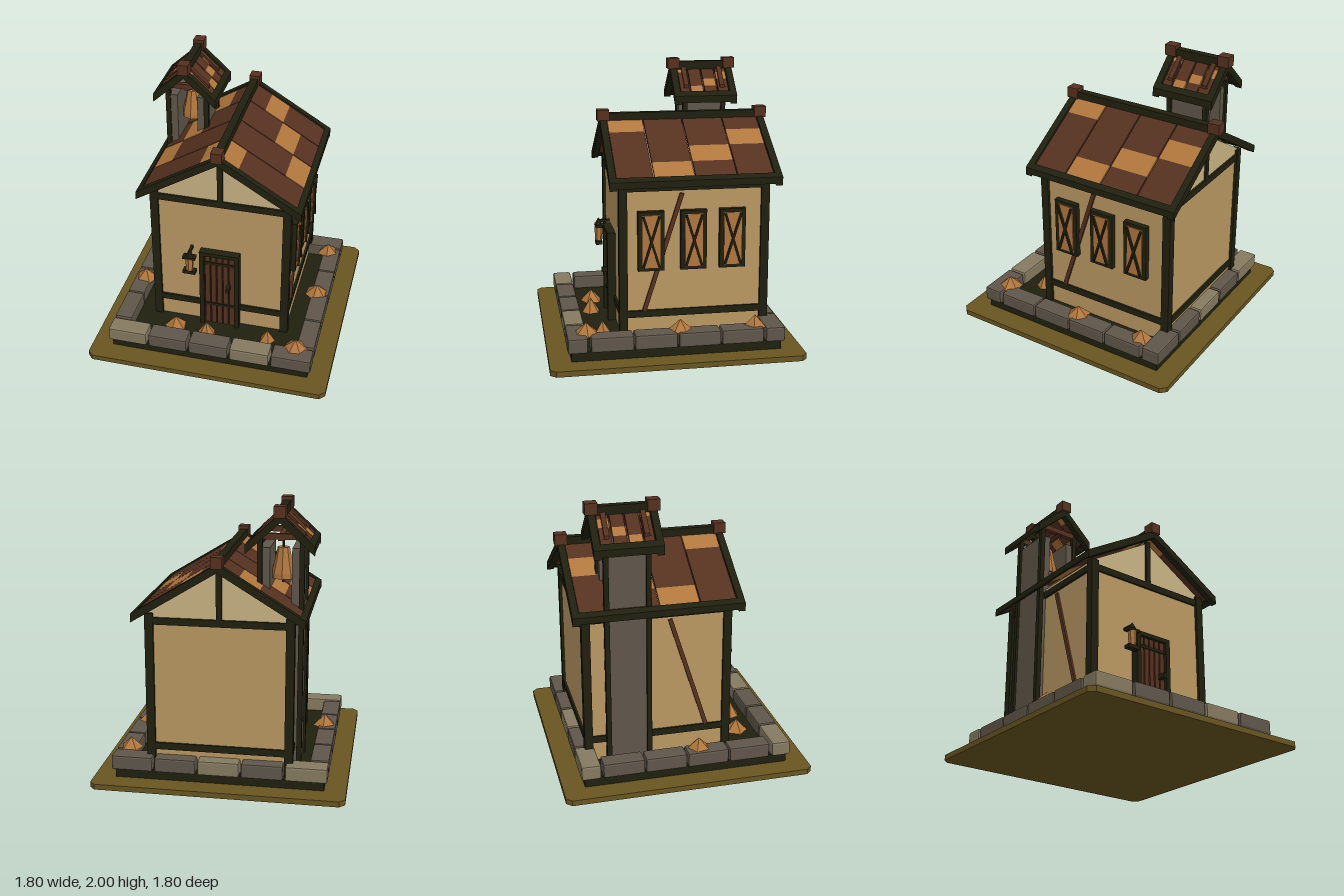
import * as THREE from 'three';
import { RoundedBoxGeometry } from 'three/addons/geometries/RoundedBoxGeometry.js';

const mat = (name, color) => {
  const m = new THREE.MeshStandardMaterial({ color, flatShading: true });
  m.name = name;
  return m;
};

export function createModel() {
  const timber = mat('dark timber', 0x20200f);
  const wallTan = mat('tan wall', 0xb99862);
  const plaster = mat('pale plaster', 0xc8b283);
  const brown = mat('red brown wood', 0x55311f);
  const amber = mat('amber', 0xb0763c);
  const stone = mat('grey stone', 0x5f564a);
  const paleStone = mat('pale stone', 0x857a60);
  const earth = mat('olive earth', 0x685520);

  const model = new THREE.Group();
  const add = (name, geo, m, x = 0, y = 0, z = 0) => {
    const mesh = new THREE.Mesh(geo, m);
    mesh.name = name;
    mesh.position.set(x, y, z);
    model.add(mesh);
    return mesh;
  };
  // Box given by its limits on each axis
  const box = (name, m, x0, x1, y0, y1, z0, z1) =>
    add(name, new THREE.BoxGeometry(x1 - x0, y1 - y0, z1 - z0), m, (x0 + x1) / 2, (y0 + y1) / 2, (z0 + z1) / 2);
  // Outline in x and y, extruded from z0 to z1
  const prism = (name, m, pts, z0, z1) => {
    const shape = new THREE.Shape(pts.map(([x, y]) => new THREE.Vector2(x, y)));
    return add(name, new THREE.ExtrudeGeometry(shape, { depth: z1 - z0, bevelEnabled: false }), m, 0, 0, z0);
  };
  // Sloping board on one side of a gable roof
  const slopeBoard = (name, m, r, side, a, b, drop, thick, z0, z1) => {
    const top = d => r.apex - drop - r.k * d;
    prism(name, m, [[a, top(a)], [b, top(b)], [b, top(b) - thick], [a, top(a) - thick]]
      .map(([d, y]) => [r.x + side * d, y]), z0, z1);
  };

  // Ground plate with clipped corners, and the plinth on it
  const e = 0.9, c = 0.86;
  prism('groundPlate', earth, [[-c, -e], [c, -e], [e, -c], [e, c], [c, e], [-c, e], [-e, c], [-e, -c]], 0, 0.04)
    .rotation.x = -Math.PI / 2;
  box('plinth', timber, -0.745, 0.745, 0.04, 0.108, -0.745, 0.745);

  // Ring of bevelled border stones
  const borderStone = (w, d, x, z, pale) =>
    add('borderStone', new RoundedBoxGeometry(w, 0.108, d, 1, 0.014), pale ? paleStone : stone, x, 0.156, z);
  for (let i = 0; i < 5; i++) {
    const x = -0.62 + i * 0.31;
    borderStone(0.295, 0.14, x, 0.7, i === 0 || i === 3);
    borderStone(0.295, 0.14, x, -0.7, i === 0 || i === 2);
  }
  for (const side of [-1, 1])
    for (let i = 0; i < 4; i++) borderStone(0.135, 0.3, side * 0.7, 0.46 - i * 0.308, false);

  // Pointed rocks on the border and in the yard: x, base, z, radius, height
  [[0.67, 0.2, -0.57, 0.085, 0.08], [0.67, 0.2, -0.03, 0.09, 0.08], [-0.68, 0.2, 0.1, 0.09, 0.085],
    [0.63, 0.2, 0.63, 0.09, 0.08], [-0.32, 0.108, 0.5, 0.085, 0.09], [-0.07, 0.108, 0.53, 0.07, 0.11],
    [0.39, 0.108, 0.49, 0.06, 0.09]].forEach(([x, y, z, r, h], i) => {
    add('rock', new THREE.ConeGeometry(r, h, 5 + i % 2), amber, x, y + h / 2, z).rotation.y = i * 0.9;
  });

  // House walls and plaster gable
  box('walls', wallTan, -0.5, 0.5, 0.1, 1.2, -0.68, 0.36);
  prism('gable', plaster, [[-0.5, 1.2], [0.5, 1.2], [0.5, 1.25], [0, 1.555], [-0.5, 1.25]], -0.68, 0.36);

  // Timber frame
  for (const s of [-1, 1]) {
    for (const z of [0.32, -0.7])
      box('cornerPost', timber, s < 0 ? -0.52 : 0.46, s < 0 ? -0.46 : 0.52, 0.1, 1.25, z, z + 0.06);
    for (const [y0, y1] of [[0.25, 0.3], [1.17, 1.22]])
      box('sideBeam', timber, s < 0 ? -0.515 : 0.49, s < 0 ? -0.49 : 0.515, y0, y1, -0.68, 0.36);
    const brace = add('diagonalBrace', new THREE.BoxGeometry(0.03, 0.89, 0.03), brown, s * 0.5, 0.725, 0.065);
    brace.rotation.x = -Math.atan2(0.27, 0.85);
  }
  for (const z of [0.35, -0.695]) {
    box('lowerBeam', timber, -0.5, 0.5, 0.25, 0.3, z, z + 0.025);
    box('upperBeam', timber, -0.5, 0.5, 1.17, 1.22, z, z + 0.025);
    box('gablePost', timber, -0.02, 0.02, 1.2, 1.56, z, z + 0.025);
  }

  // Gable roof: four rows of tiles with one amber patch each, framed by timber
  const roof = (r, zs, inner, outer, edge, thick, gap) => {
    const patch = [0, 3, 2, 1], q = inner / 4;
    for (const s of [-1, 1]) {
      for (let i = 0; i < 4; i++)
        for (let j = 0; j < 4; j++)
          slopeBoard('roofTile', j === patch[i] ? amber : brown, r, s, j * q, (j + 1) * q, 0.012, 0.025,
            zs[i + 1] + gap / 2, zs[i] - gap / 2);
      slopeBoard('frontRafter', timber, r, s, 0, outer, 0, thick, zs[0], zs[0] + edge);
      slopeBoard('backRafter', timber, r, s, 0, outer, 0, thick, zs[4] - edge, zs[4]);
      slopeBoard('eaveBeam', timber, r, s, inner, outer, 0, thick * 0.8, zs[4], zs[0]);
    }
    box('ridgeBeam', timber, r.x - 0.028, r.x + 0.028, r.apex - 0.04, r.apex + 0.025, zs[4] - edge, zs[0] + edge);
    for (const z of [zs[0] + edge / 2, zs[4] - edge / 2])
      box('ridgeCap', brown, r.x - 0.04, r.x + 0.04, r.apex - 0.03, r.apex + 0.05, z - 0.044, z + 0.044);
  };
  roof({ x: 0, apex: 1.625, k: 0.61 }, [0.4, 0.135, -0.155, -0.455, -0.72], 0.56, 0.6, 0.05, 0.06, 0.008);

  // Bell tower: side panels between four posts
  const tower = { x: -0.4, apex: 1.95, k: 0.92 };
  for (const s of [-1, 1]) {
    const span = (a, b) => [tower.x + Math.min(s * a, s * b), tower.x + Math.max(s * a, s * b)];
    box('towerPanel', stone, ...span(0.075, 0.145), 0.1, 1.7, -0.53, -0.225);
    for (const z of [-0.25, -0.545])
      box('towerPost', timber, ...span(0.127, 0.163), 0.1, 1.79, z, z + 0.035);
    for (const z of [-0.26, -0.535])
      slopeBoard('roofBatten', brown, tower, s, 0.03, 0.165, -0.01, 0.03, z, z + 0.035);
  }
  roof(tower, [-0.19, -0.27, -0.375, -0.48, -0.57], 0.2, 0.235, 0.05, 0.065, 0.012);
  for (const z of [-0.25, -0.545])
    box('towerCrossBeam', brown, -0.53, -0.27, 1.76, 1.8, z, z + 0.035);
  box('bellBeam', brown, -0.42, -0.38, 1.75, 1.79, -0.54, -0.22);

  // Bell and clapper
  const bellProfile = [[0, 1.68], [0.042, 1.68], [0.058, 1.6], [0.082, 1.5], [0.084, 1.465], [0.07, 1.465], [0, 1.6]]
    .reverse().map(([x, y]) => new THREE.Vector2(x, y));
  add('bell', new THREE.LatheGeometry(bellProfile, 8), amber, -0.4, 0, -0.38);
  add('bellRod', new THREE.CylinderGeometry(0.01, 0.01, 0.32, 6), timber, -0.4, 1.59, -0.38);

  // Front door with planks, bands, handle and frame
  box('doorBack', timber, -0.12, 0.12, 0.1, 0.76, 0.36, 0.385);
  for (let i = 0; i < 5; i++) {
    const x = -0.092 + i * 0.046;
    box('doorPlank', brown, x - 0.018, x + 0.018, 0.11, 0.75, 0.38, 0.398);
  }
  for (const y of [0.68, 0.295]) box('doorBand', timber, -0.115, 0.115, y - 0.012, y + 0.012, 0.39, 0.405);
  for (const x of [-0.15, 0.115]) box('doorJamb', timber, x, x + 0.035, 0.1, 0.78, 0.36, 0.42);
  box('doorLintel', timber, -0.15, 0.15, 0.752, 0.782, 0.36, 0.42);
  box('doorHandle', timber, 0.058, 0.084, 0.465, 0.5, 0.39, 0.455);

  // Hanging lantern beside the door
  const lx = -0.215, lz = 0.445;
  box('lanternBase', timber, lx - 0.048, lx + 0.048, 0.605, 0.632, lz - 0.025, lz + 0.025);
  add('lanternGlass', new THREE.CylinderGeometry(0.032, 0.026, 0.11, 6), amber, lx, 0.685, lz);
  box('lanternLid', timber, lx - 0.048, lx + 0.048, 0.737, 0.757, lz - 0.025, lz + 0.025);
  add('lanternCap', new THREE.ConeGeometry(0.034, 0.055, 6), timber, lx, 0.783, lz);
  box('lanternArm', timber, lx - 0.01, lx + 0.01, 0.775, 0.795, 0.355, lz);

  // Three cross-barred windows on the left wall
  for (const z of [0.155, -0.15, -0.43]) {
    box('windowFrame', timber, 0.49, 0.54, 0.6, 1.03, z - 0.093, z + 0.093);
    box('windowPane', amber, 0.53, 0.548, 0.625, 1.005, z - 0.063, z + 0.063);
    for (const s of [-1, 1])
      add('windowBar', new THREE.BoxGeometry(0.02, 0.385, 0.015), timber, 0.553, 0.815, z).rotation.x = s * 0.3;
  }
  return model;
}
